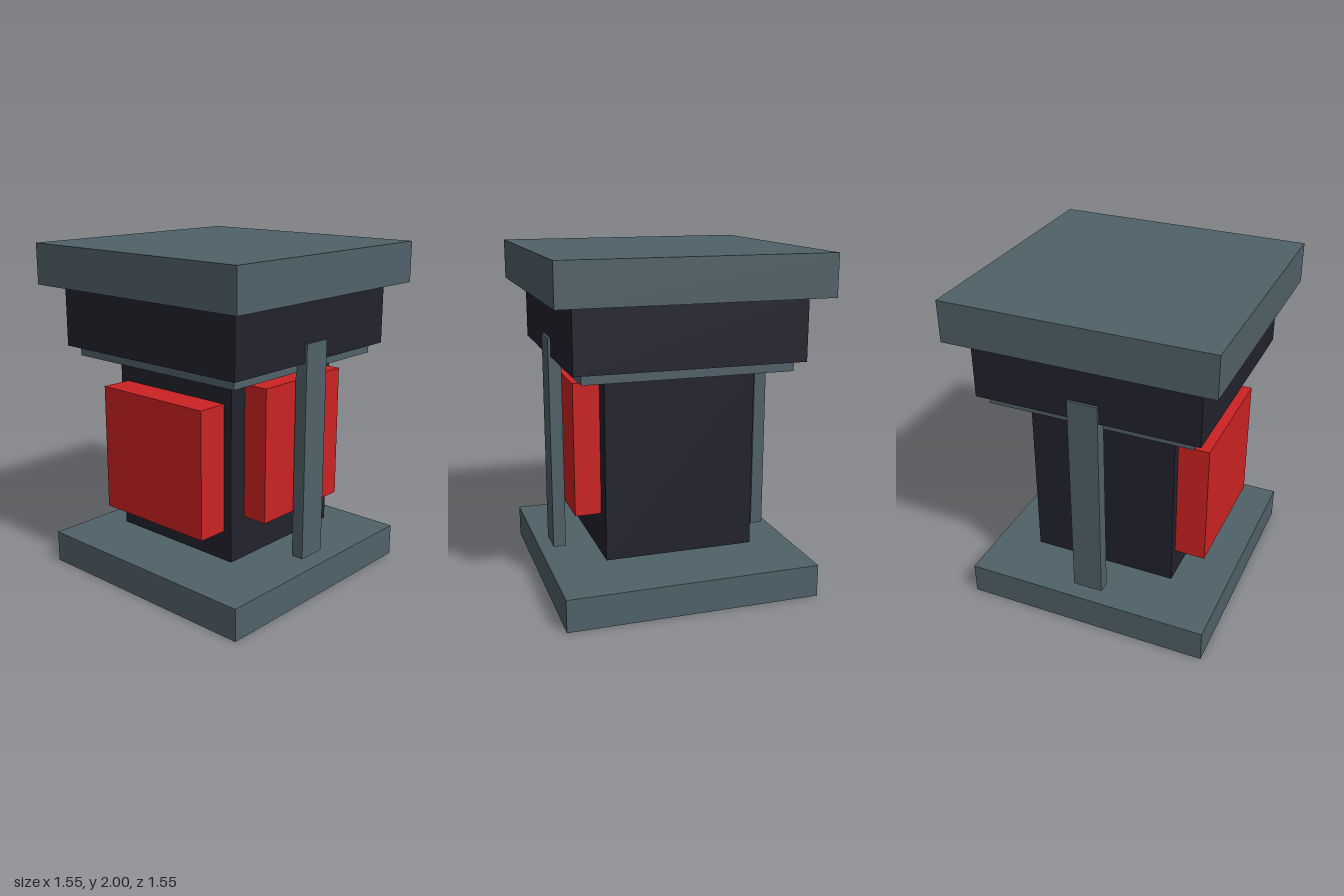
import * as THREE from 'three';

export function createModel() {
  const slate = new THREE.MeshStandardMaterial({ color: 0x506169 });
  slate.name = 'slate grey';
  const dark = new THREE.MeshStandardMaterial({ color: 0x22222d });
  dark.name = 'dark navy';
  const red = new THREE.MeshStandardMaterial({ color: 0xcc2222 });
  red.name = 'red';

  const model = new THREE.Group();
  model.name = 'pedestal';

  // Box from its extents along each axis
  function block(name, material, [x0, x1], [y0, y1], [z0, z1]) {
    const mesh = new THREE.Mesh(new THREE.BoxGeometry(x1 - x0, y1 - y0, z1 - z0), material);
    mesh.position.set((x0 + x1) / 2, (y0 + y1) / 2, (z0 + z1) / 2);
    mesh.name = name;
    model.add(mesh);
  }
  // Square slab centred on the vertical axis
  const slab = (name, material, half, y) => block(name, material, [-half, half], y, [-half, half]);

  // Central stack, with small gaps above the base and below the collar
  slab('base', slate, 0.75, [0, 0.192]);
  slab('core', dark, 0.444, [0.255, 1.305]);
  slab('collar', slate, 0.612, [1.332, 1.392]);
  slab('head', dark, 0.666, [1.392, 1.758]);
  slab('cap', slate, 0.777, [1.758, 2]);

  // Red panels on the front and the left side
  block('frontPanel', red, [-0.39, 0.39], [0.432, 1.182], [0.444, 0.627]);
  block('leftPanel', red, [0.444, 0.597], [0.502, 1.282], [-0.333, 0.333]);

  // Side posts
  for (const [name, side] of [['leftPost', 1], ['rightPost', -1]]) {
    const x = [side * 0.606, side * 0.681].sort((a, b) => a - b);
    block(name, slate, x, [0.227, 1.502], [-0.09, 0.09]);
  }

  return model;
}
